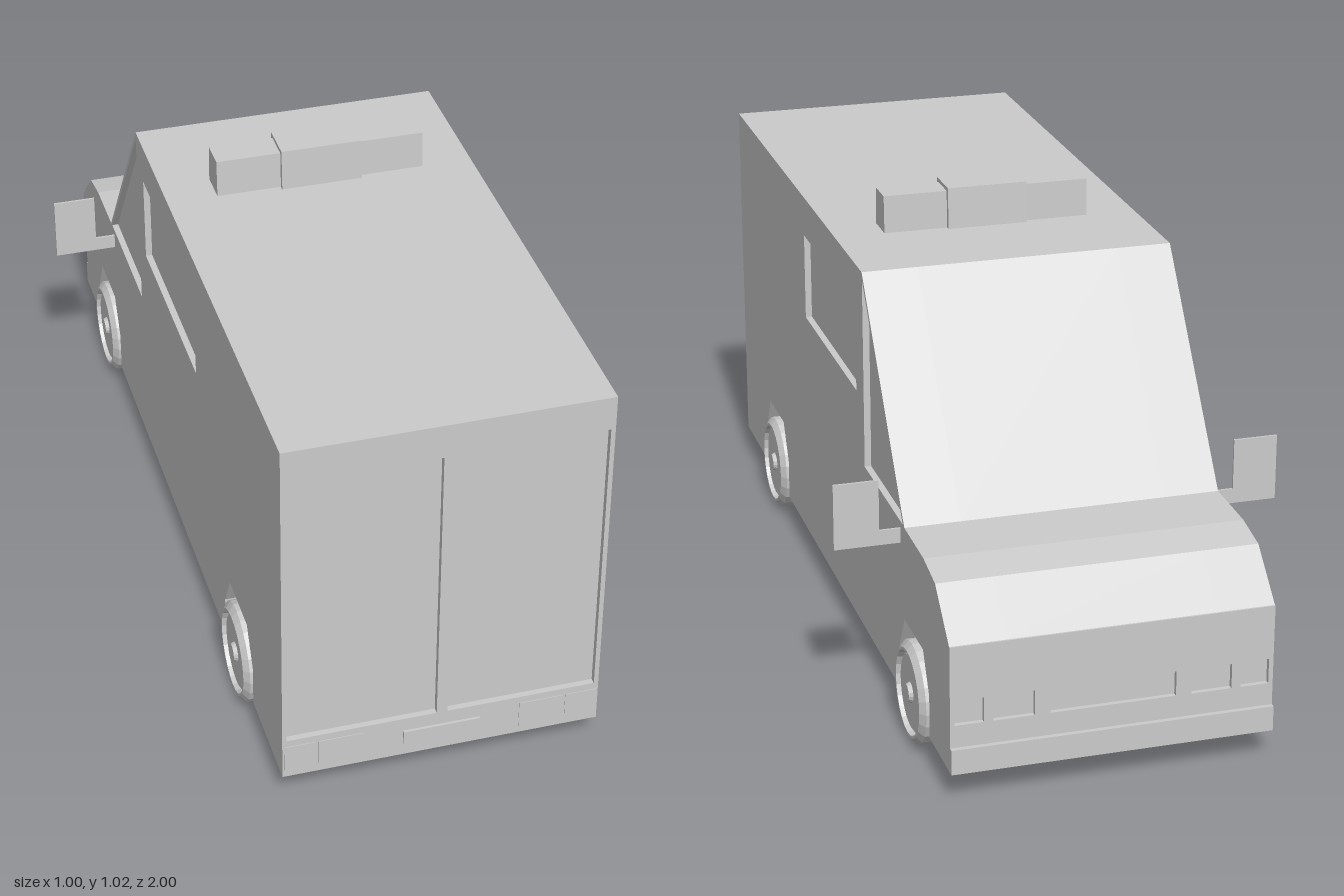
import * as THREE from 'three';

const grey = new THREE.MeshStandardMaterial({ color: 0xcccccc, flatShading: true });
const HALF = 0.355; // half width of the body
const BACK = 0.98, NOSE = -0.978; // ends of the body behind the front and rear panels
const AXLES = [0.625, -0.705];

function add(parent, name, geometry, x = 0, y = 0, z = 0) {
  const mesh = new THREE.Mesh(geometry, grey);
  mesh.name = name;
  mesh.position.set(x, y, z);
  parent.add(mesh);
  return mesh;
}

function box(parent, name, x0, x1, y0, y1, z0, z1) {
  const g = new THREE.BoxGeometry(x1 - x0, y1 - y0, z1 - z0);
  return add(parent, name, g, (x0 + x1) / 2, (y0 + y1) / 2, (z0 + z1) / 2);
}

const points = (list) => list.map(([a, b]) => new THREE.Vector2(a, b));
const rect = (x0, x1, y0, y1) => new THREE.Path(points([[x0, y0], [x1, y0], [x1, y1], [x0, y1]]));

// Side outline in (z, y); arches cut the lower edge
function sideShape(withArches) {
  const outline = [
    [BACK, 0.067], [BACK, 0.93], [-0.29, 0.93], [-0.635, 0.47], [-0.79, 0.467],
    [-0.88, 0.45], [-0.985, 0.355], [NOSE, 0.355], [NOSE, 0.067],
  ];
  if (withArches) {
    for (const c of [...AXLES].reverse()) {
      outline.push([c - 0.123, 0.067], [c - 0.123, 0.165], [c - 0.075, 0.252],
        [c + 0.075, 0.252], [c + 0.123, 0.165], [c + 0.123, 0.067]);
    }
  }
  return new THREE.Shape(points(outline.map(([z, y]) => [-z, y])));
}

// Extrude a (-z, y) shape across x0..x1
function slab(parent, name, shape, x0, x1) {
  const g = new THREE.ExtrudeGeometry(shape, { depth: x1 - x0, bevelEnabled: false });
  g.rotateY(Math.PI / 2);
  return add(parent, name, g, x0);
}

// Panel in the xy plane with rectangular openings
function panel(parent, name, y0, y1, z0, z1, openings) {
  const shape = new THREE.Shape(points([[-HALF, y0], [HALF, y0], [HALF, y1], [-HALF, y1]]));
  shape.holes = openings.map((o) => rect(...o));
  const g = new THREE.ExtrudeGeometry(shape, { depth: z1 - z0, bevelEnabled: false });
  return add(parent, name, g, 0, 0, z0);
}

function makeBody() {
  const body = new THREE.Group();
  body.name = 'body';
  const inner = 0.23, skin = 0.34;
  slab(body, 'bodyCore', sideShape(false), -inner, inner);

  // Side walls: a plain layer, then a skin with window openings
  const outer = sideShape(true);
  outer.holes = [
    rect(-0.27, 0.225, 0.63, 0.835),
    new THREE.Path(points([[0.292, 0.912], [0.292, 0.472], [0.622, 0.472]])),
  ];
  for (const [a, b, shape, name] of [
    [inner, skin, sideShape(true), 'sideWall'], [skin, HALF, outer, 'sideSkin'],
  ]) {
    slab(body, name, shape, a, b);
    slab(body, name, shape, -b, -a);
  }

  // Rear panel with two sunken doors, plate and lamps
  panel(body, 'rearDoorFrame', 0.067, 0.93, BACK, 0.994,
    [[-0.345, -0.012, 0.167, 0.85], [0.012, 0.345, 0.167, 0.85]]);
  box(body, 'rearPlate', -0.087, 0.085, 0.1, 0.134, 0.99, 1);
  for (const s of [-1, 1]) {
    for (const [c, w] of [[0.225, 0.1], [0.315, 0.07]]) {
      box(body, 'tailLamp', s * c - w / 2, s * c + w / 2, 0.085, 0.15, 0.985, 0.9955);
    }
  }

  // Nose panel with sunken headlamps and grille
  panel(body, 'nosePanel', 0.067, 0.355, -0.989, NOSE, [
    [-0.138, 0.138, 0.175, 0.232],
    [0.172, 0.262, 0.175, 0.232], [-0.262, -0.172, 0.175, 0.232],
    [0.282, 0.345, 0.175, 0.232], [-0.345, -0.282, 0.175, 0.232],
  ]);
  box(body, 'frontBumper', -HALF, HALF, 0.067, 0.124, -1, -0.985);
  return body;
}

// Wheel turned about its axle, outer face towards +x
function makeWheel() {
  const wheel = new THREE.Group();
  wheel.name = 'wheel';
  const profile = points([
    [0, -0.06], [0.112, -0.06], [0.115, -0.056], [0.115, 0.048], [0.1, 0.06],
    [0.094, 0.06], [0.092, 0.047], [0.086, 0.047], [0.084, 0.052], [0, 0.052],
  ]);
  const tyre = new THREE.LatheGeometry(profile, 24);
  tyre.rotateZ(-Math.PI / 2);
  add(wheel, 'tyreAndRim', tyre);
  const hub = new THREE.CylinderGeometry(0.019, 0.025, 0.012, 16);
  hub.rotateZ(-Math.PI / 2);
  add(wheel, 'hubCap', hub, 0.055);
  return wheel;
}

function makeMirror() {
  const mirror = new THREE.Group();
  mirror.name = 'wingMirror';
  box(mirror, 'mirrorArm', 0.34, 0.402, 0.422, 0.456, -0.603, -0.598);
  box(mirror, 'mirrorPlate', 0.402, 0.502, 0.422, 0.572, -0.603, -0.598);
  return mirror;
}

// Box narrowed in z towards the top
function taperedBlock(parent, name, x0, x1, y1, half) {
  const mesh = box(parent, name, x0, x1, 0.93, y1, -half, half);
  const p = mesh.geometry.attributes.position;
  for (let i = 0; i < p.count; i++) if (p.getY(i) > 0) p.setZ(i, p.getZ(i) * 0.9);
  mesh.geometry.computeVertexNormals();
  mesh.position.z = -0.007;
}

export function createModel() {
  const model = new THREE.Group();
  model.name = 'van';
  model.add(makeBody());

  // Wheels and mirrors on both sides
  for (const s of [1, -1]) {
    for (const z of AXLES) {
      const wheel = makeWheel();
      wheel.position.set(s * 0.311, 0.115, z);
      if (s < 0) wheel.rotation.y = Math.PI;
      model.add(wheel);
    }
    const mirror = makeMirror();
    if (s < 0) {
      mirror.rotation.y = Math.PI;
      mirror.position.z = -1.201;
    }
    model.add(mirror);
  }

  // Roof light bar
  const bar = new THREE.Group();
  bar.name = 'lightBar';
  taperedBlock(bar, 'lightBarCentre', -0.093, 0.093, 1.025, 0.05);
  taperedBlock(bar, 'lightBarLeft', 0.093, 0.24, 1.016, 0.038);
  taperedBlock(bar, 'lightBarRight', -0.24, -0.093, 1.016, 0.038);
  model.add(bar);
  return model;
}
